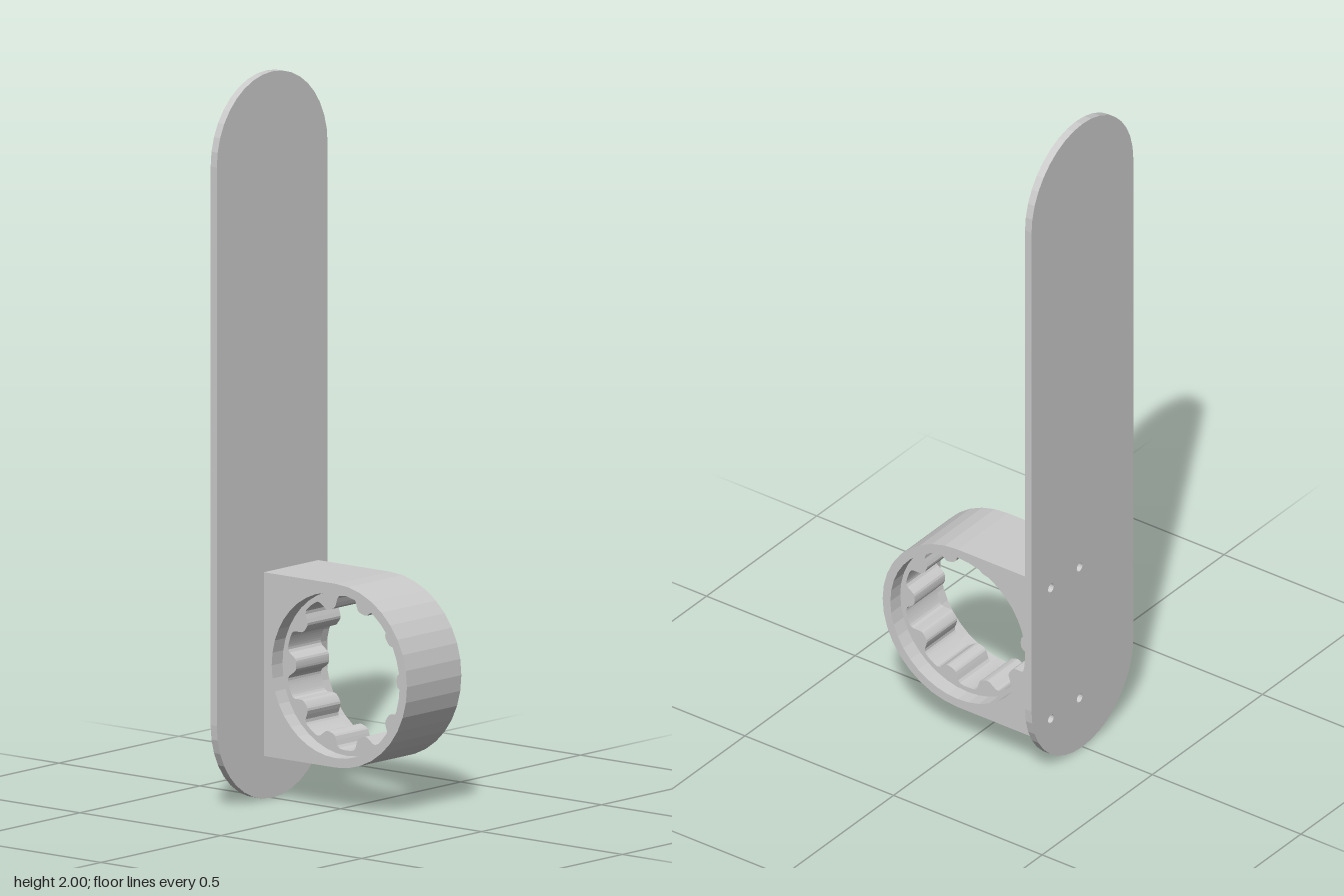
import * as THREE from 'three';

const material = new THREE.MeshStandardMaterial({ color: 0xcccccc, flatShading: true });

// Points along an arc; r may be a number or a function of the angle
function arc(cx, cy, r, from, to, steps) {
  const points = [];
  for (let i = 0; i <= steps; i++) {
    const a = from + ((to - from) * i) / steps;
    const radius = typeof r === 'function' ? r(a) : r;
    points.push(new THREE.Vector2(cx + radius * Math.cos(a), cy + radius * Math.sin(a)));
  }
  return points;
}

// Closed loop without a repeated end point
const loop = (cx, cy, r, steps) => arc(cx, cy, r, 0, Math.PI * 2, steps).slice(0, -1);

function extrude(name, outline, holes, depth) {
  const shape = new THREE.Shape(outline);
  shape.holes = holes.map((points) => new THREE.Path(points));
  const geometry = new THREE.ExtrudeGeometry(shape, { depth, bevelEnabled: false });
  const mesh = new THREE.Mesh(geometry, material);
  mesh.name = name;
  return mesh;
}

export function createModel() {
  const group = new THREE.Group();
  group.name = 'mountingBracket';

  const plateX = -0.265, plateThickness = 0.022, plateR = 0.231;
  const ringX = 0.012, ringY = 0.373, ringR = 0.253, boreR = 0.227;
  const back = -0.192, depth = 0.227, step = 0.045;

  // Long upright plate with round ends and four screw holes
  const screwHoles = [];
  for (const x of [0.013, 0.143]) {
    for (const dy of [-0.21, 0.21]) screwHoles.push(loop(x, ringY + dy, 0.013, 16));
  }
  const plate = extrude('backPlate', [
    ...arc(0, plateR, plateR, Math.PI, Math.PI * 2, 18),
    ...arc(0, 2 - plateR, plateR, 0, Math.PI, 18),
  ], screwHoles, plateThickness);
  plate.geometry.rotateY(Math.PI / 2);
  plate.position.x = plateX;
  group.add(plate);

  // D-shaped holder with a plain round bore
  const inner = plateX + plateThickness;
  const holder = extrude('holder', [
    new THREE.Vector2(inner, ringY - ringR),
    ...arc(ringX, ringY, ringR, -Math.PI / 2, Math.PI / 2, 18),
    new THREE.Vector2(inner, ringY + ringR),
  ], [loop(ringX, ringY, boreR, 40)], depth);
  holder.position.z = back;
  group.add(holder);

  // Ring of ten rounded teeth, recessed from both faces of the bore
  const toothRadius = (a) => 0.195 - 0.0175 * Math.tanh(2.5 * (Math.cos(10 * a) - 0.25));
  const teeth = extrude('toothedRing', loop(ringX, ringY, boreR, 40),
    [loop(ringX, ringY, toothRadius, 200)], depth - 2 * step);
  teeth.position.z = back + step;
  group.add(teeth);

  return group;
}
